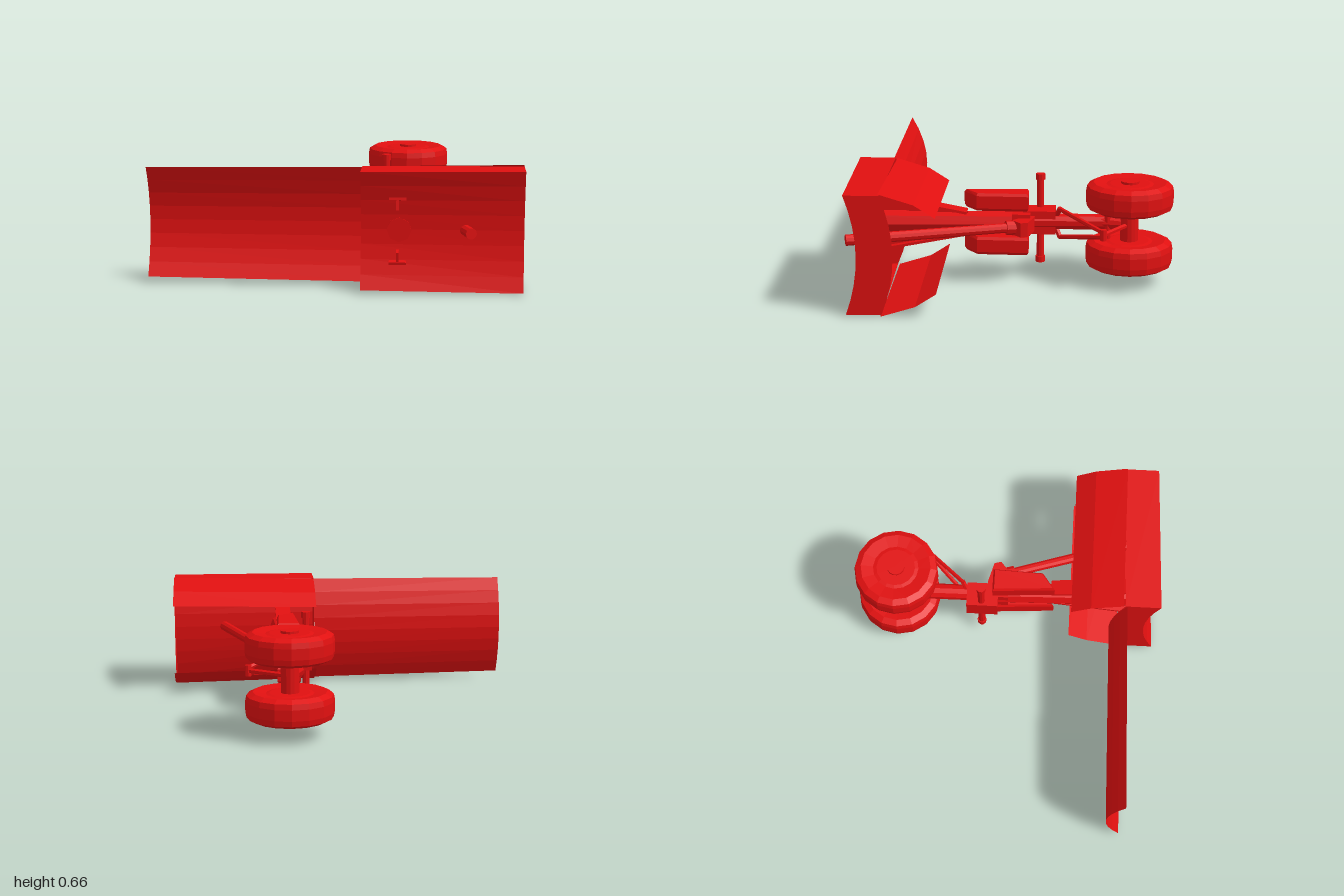
import * as THREE from 'three';

const red = new THREE.MeshStandardMaterial({ color: 0xe01010, flatShading: true });
const thin = new THREE.MeshStandardMaterial({ color: 0xe01010, flatShading: true, side: THREE.DoubleSide });
const V = (x, y, z) => new THREE.Vector3(x, y, z);
const MID = 0.335; // height of the gear centre line

export function createModel() {
  const root = new THREE.Group();

  const add = (name, geo, x = 0, y = 0, z = 0, mat = red) => {
    const m = new THREE.Mesh(geo, mat);
    m.name = name;
    m.position.set(x, y, z);
    root.add(m);
    return m;
  };

  const box = (name, w, h, d, x, y, z) => add(name, new THREE.BoxGeometry(w, h, d), x, y, z);

  // Round bar from a to b
  const rod = (name, a, b, ra, rb = ra, sides = 10) => {
    const dir = b.clone().sub(a);
    const m = add(name, new THREE.CylinderGeometry(rb, ra, dir.length(), sides));
    m.position.copy(a).add(b).multiplyScalar(0.5);
    m.quaternion.setFromUnitVectors(V(0, 1, 0), dir.normalize());
    return m;
  };

  // Thin skin stretched between rows of points
  const sheet = (name, rows) => {
    const n = rows[0].length, pos = rows.flat(2), idx = [];
    for (let r = 0; r < rows.length - 1; r++) {
      for (let i = 0; i < n - 1; i++) {
        const a = r * n + i, b = a + n;
        idx.push(a, b, a + 1, b, b + 1, a + 1);
      }
    }
    const g = new THREE.BufferGeometry();
    g.setAttribute('position', new THREE.Float32BufferAttribute(pos, 3));
    g.setIndex(idx);
    g.computeVertexNormals();
    return add(name, g, 0, 0, 0, thin);
  };

  // Curved door section: hollow side towards the front
  const arc = (x, y0, y1, zEdge, depth, n = 8) => {
    const pts = [];
    for (let i = 0; i <= n; i++) {
      const t = i / n, s = 2 * t - 1;
      pts.push([x, y0 + (y1 - y0) * t, zEdge - depth * (1 - s * s)]);
    }
    return pts;
  };

  // Long door
  sheet('longDoor', [arc(-1, 0.04, 0.635, 0.70, 0.09), arc(0.15, 0.027, 0.645, 0.675, 0.085)]);

  // Short door: front skin, rims and end plates, open at the back
  const frontIn = arc(0.15, 0.025, 0.65, 0.865, 0.075);
  const frontOut = arc(1, 0.015, 0.655, 0.835, 0.06);
  const backIn = arc(0.15, 0.025, 0.65, 0.665, 0.07);
  const backOut = arc(1, 0.015, 0.655, 0.65, 0.065);
  sheet('shortDoorSkin', [frontIn, frontOut]);
  sheet('shortDoorInnerEnd', [frontIn, backIn]);
  sheet('shortDoorOuterEnd', [frontOut, backOut]);
  for (const i of [0, 8]) {
    sheet('shortDoorRim', [[frontIn[i], frontOut[i]], [backIn[i], backOut[i]]]);
  }

  // Angled flaps behind the short door, above and below
  for (const s of [1, -1]) {
    const flap = (x, flare) => [[0.32 + flare, 0.655], [0.265 + flare, 0.475], [0.195 + flare, 0.365]]
      .map(([h, z]) => [x, MID + s * h, z]);
    sheet(s > 0 ? 'upperFlap' : 'lowerFlap', [flap(0.15, -0.008), flap(1, 0.008)]);
  }

  // Main strut with a thinner sliding section and axle
  rod('mainStrut', V(0.32, MID, -0.1), V(0.35, MID, 0.795), 0.058, 0.065, 8);
  rod('slidingStrut', V(0.31, MID, -0.52), V(0.315, MID, -0.08), 0.045);
  rod('strutFork', V(0.35, MID, -0.645), V(0.31, MID, -0.5), 0.03, 0.045);
  rod('axle', V(0.35, 0.1, -0.645), V(0.35, 0.57, -0.645), 0.05, 0.05, 14);

  // Wheels
  const tyre = [[0, -0.072], [0.11, -0.072], [0.13, -0.068], [0.2, -0.078], [0.234, -0.06], [0.24, -0.03],
    [0.24, 0.03], [0.234, 0.06], [0.2, 0.078], [0.13, 0.068], [0.11, 0.072], [0, 0.072]]
    .map(([r, y]) => new THREE.Vector2(r, y));
  for (const s of [1, -1]) {
    add('wheel', new THREE.LatheGeometry(tyre, 16), 0.35, MID + s * 0.162, -0.645);
    add('wheelHub', new THREE.CylinderGeometry(0.05, 0.05, 0.03, 14), 0.35, MID + s * 0.232, -0.645);
  }

  // Collar block, cross post with end caps
  box('collar', 0.14, 0.13, 0.18, 0.28, MID, -0.148);
  box('strutBlock', 0.13, 0.12, 0.1, 0.335, MID, -0.05);
  rod('crossPost', V(0.24, 0.08, -0.152), V(0.24, 0.59, -0.152), 0.02);
  for (const y of [0.097, 0.573]) {
    add('postCap', new THREE.CylinderGeometry(0.026, 0.026, 0.034, 10), 0.24, y, -0.152);
  }

  // Torque links
  for (const s of [1, -1]) {
    rod('torqueLink', V(0.34, MID + s * 0.08, -0.26), V(0.57, MID + s * 0.012, -0.5), 0.013, 0.013, 6);
    rod('linkRoot', V(0.32, MID + s * 0.03, -0.24), V(0.345, MID + s * 0.085, -0.265), 0.015, 0.015, 6);
  }
  rod('linkPin', V(0.57, 0.305, -0.5), V(0.57, 0.365, -0.5), 0.018, 0.018, 8);
  rod('axleLink', V(0.57, MID, -0.5), V(0.36, MID, -0.64), 0.014, 0.014, 6);
  rod('axlePin', V(0.34, 0.25, -0.525), V(0.34, 0.42, -0.525), 0.018, 0.018, 8);

  // Side blocks above and below the strut, with slanted front ends
  const blockShape = new THREE.Shape([[0.275, -0.08], [0.39, -0.08], [0.38, 0.19], [0.295, 0.255]]
    .map(([x, z]) => new THREE.Vector2(x, -z)));
  const blockGeo = new THREE.ExtrudeGeometry(blockShape, {
    depth: 0.07, bevelEnabled: true, bevelThickness: 0.015, bevelSize: 0.01, bevelSegments: 1,
  });
  blockGeo.rotateX(-Math.PI / 2);
  for (const s of [1, -1]) add('sideBlock', blockGeo, 0, MID + s * 0.125 - 0.035, 0);

  // Spreading arms of T section
  for (const s of [1, -1]) {
    const a = V(0.335, MID + s * 0.06, 0.25), b = V(0.35, MID + s * 0.172, 0.835);
    for (const [name, w, h, off] of [['armFlange', 0.09, 0.014, 0], ['armWeb', 0.014, 0.06, -0.03]]) {
      const arm = box(name, w, h, a.distanceTo(b), 0, 0, 0);
      arm.position.copy(a).add(b).multiplyScalar(0.5);
      arm.position.y += s * off;
      arm.rotation.x = -s * Math.atan2(0.112, 0.585);
    }
  }

  // Side brace and its bracket
  const bracket = new THREE.Shape([[0.3, -0.13], [0.38, -0.12], [0.49, -0.09], [0.5, -0.05], [0.44, 0.0],
    [0.4, -0.04], [0.3, -0.04]].map(([x, z]) => new THREE.Vector2(x, -z)));
  const bracketGeo = new THREE.ExtrudeGeometry(bracket, { depth: 0.08, bevelEnabled: false });
  bracketGeo.rotateX(-Math.PI / 2);
  add('braceBracket', bracketGeo, 0, MID - 0.04, 0);
  rod('braceSleeve', V(0.43, MID, -0.05), V(0.455, MID, 0.03), 0.04);
  rod('sideBrace', V(0.44, MID, -0.02), V(0.725, MID, 0.87), 0.026, 0.03);

  return root;
}
